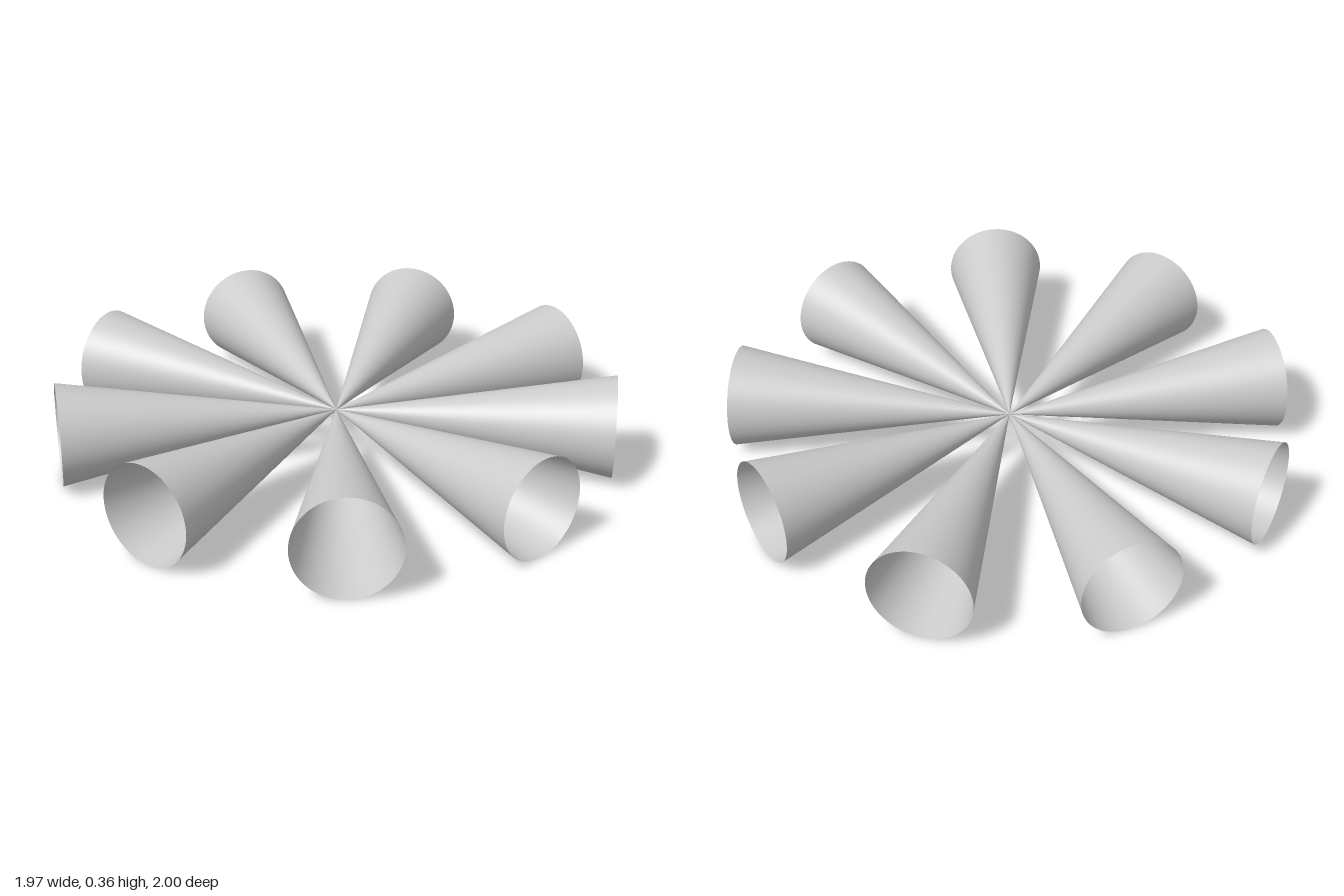
import * as THREE from 'three';

const COUNT = 9;
const RADIUS = 0.18;
const LENGTH = 0.984;

export function createModel() {
  const group = new THREE.Group();
  group.name = 'coneRing';

  const material = new THREE.MeshStandardMaterial({ color: 0xcccccc, side: THREE.DoubleSide });

  // Hollow cone with its tip at the origin and its open mouth towards -x
  const geometry = new THREE.ConeGeometry(RADIUS, LENGTH, 64, 1, true);
  geometry.translate(0, -LENGTH / 2, 0);
  geometry.rotateZ(-Math.PI / 2);

  // Nine cones fanned evenly around the shared tip
  for (let i = 0; i < COUNT; i++) {
    const cone = new THREE.Mesh(geometry, material);
    cone.name = `cone${i + 1}`;
    cone.position.y = RADIUS;
    cone.rotation.y = (i / COUNT) * Math.PI * 2;
    group.add(cone);
  }
  return group;
}
